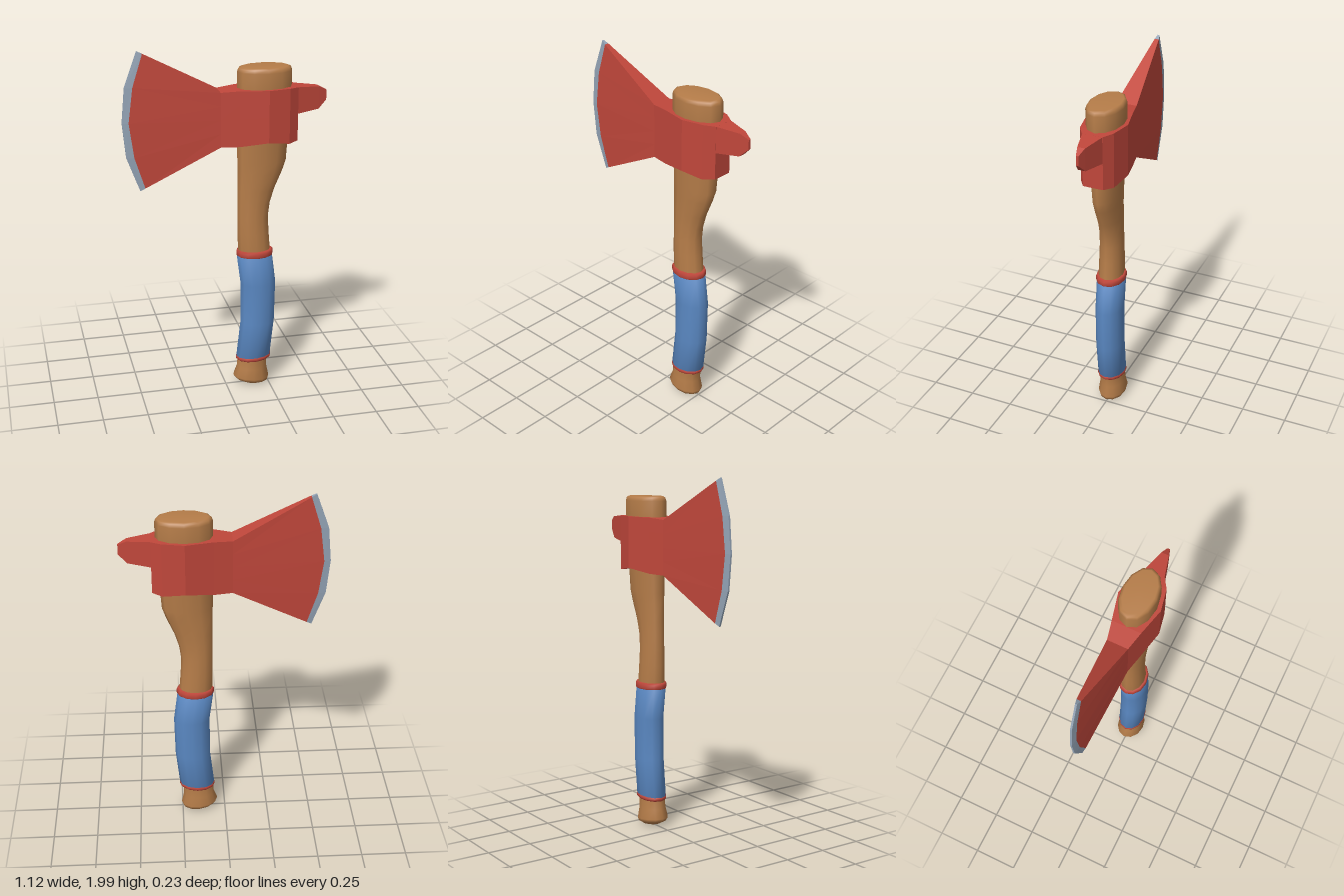
import * as THREE from 'three';

const SIDES = 12;
const RED = 0xc0473b, WOOD = 0xb67d49, BLUE = 0x5a88c2, STEEL = 0x94a4b6;

function addPart(group, name, geometry, color, flatShading = false) {
  const mesh = new THREE.Mesh(geometry, new THREE.MeshStandardMaterial({ color, flatShading }));
  mesh.name = name;
  group.add(mesh);
}

// Smooth loft through oval rings, bottom to top: [y, xMin, xMax, zHalf, tilt]
function ovalLoft(rings) {
  const pos = [], index = [];
  for (const [y, x0, x1, rz, tilt = 0] of rings) {
    const cx = (x0 + x1) / 2, rx = (x1 - x0) / 2;
    for (let k = 0; k < SIDES; k++) {
      const a = (k / SIDES) * Math.PI * 2, dx = Math.cos(a) * rx;
      pos.push(cx + dx, y + dx * tilt, -Math.sin(a) * rz);
    }
  }
  const last = rings.length - 1;
  for (let i = 0; i < last; i++) {
    for (let k = 0; k < SIDES; k++) {
      const n = (k + 1) % SIDES, a = i * SIDES, b = a + SIDES;
      index.push(a + k, a + n, b + n, a + k, b + n, b + k);
    }
  }
  // End caps
  for (const i of [0, last]) {
    const [y, x0, x1] = rings[i], c = pos.length / 3;
    pos.push((x0 + x1) / 2, y, 0);
    for (let k = 0; k < SIDES; k++) {
      const p = i * SIDES + k, q = i * SIDES + (k + 1) % SIDES;
      index.push(c, ...(i === 0 ? [q, p] : [p, q]));
    }
  }
  const g = new THREE.BufferGeometry();
  g.setAttribute('position', new THREE.Float32BufferAttribute(pos, 3));
  g.setIndex(index);
  g.computeVertexNormals();
  return g;
}

// Symmetric slab through columns, left to right; a column is a list of [x, y, zHalf], bottom to top
function slab(columns, capLeft, capRight) {
  const pos = [];
  const F = (i, j) => columns[i][j];
  const B = (i, j) => { const [x, y, z] = columns[i][j]; return [x, y, -z]; };
  const quad = (a, b, c, d) => pos.push(...a, ...b, ...c, ...a, ...c, ...d);
  const n = columns.length - 1, m = columns[0].length - 1;
  for (let i = 0; i < n; i++) {
    for (let j = 0; j < m; j++) {
      quad(F(i, j), F(i + 1, j), F(i + 1, j + 1), F(i, j + 1));
      quad(B(i + 1, j), B(i, j), B(i, j + 1), B(i + 1, j + 1));
    }
    quad(F(i, m), F(i + 1, m), B(i + 1, m), B(i, m));
    quad(B(i, 0), B(i + 1, 0), F(i + 1, 0), F(i, 0));
  }
  for (let j = 0; j < m; j++) {
    if (capLeft) quad(B(0, j), F(0, j), F(0, j + 1), B(0, j + 1));
    if (capRight) quad(F(n, j), B(n, j), B(n, j + 1), F(n, j + 1));
  }
  const g = new THREE.BufferGeometry();
  g.setAttribute('position', new THREE.Float32BufferAttribute(pos, 3));
  g.computeVertexNormals();
  return g;
}

// Straight upright column with evenly spaced points
const column = (x, y0, y1, z, segments = 4) =>
  Array.from({ length: segments + 1 }, (_, j) => [x, y0 + (y1 - y0) * j / segments, z]);

export function createModel() {
  const axe = new THREE.Group();
  axe.name = 'axe';

  // Wooden handle, from the flared knob to the rounded top
  addPart(axe, 'handle', ovalLoft([
    [0.012, 0.1, 0.225, 0.045, -0.08],
    [0.03, 0.06, 0.25, 0.073, -0.1],
    [0.05, 0.045, 0.256, 0.08, -0.1],
    [0.11, 0.066, 0.242, 0.07, -0.05],
    [0.18, 0.07, 0.245, 0.067],
    [0.4, 0.095, 0.275, 0.066],
    [0.64, 0.095, 0.28, 0.066],
    [0.83, 0.07, 0.255, 0.068],
    [0.95, 0.067, 0.245, 0.065],
    [1.04, 0.066, 0.24, 0.062],
    [1.12, 0.066, 0.25, 0.06],
    [1.2, 0.066, 0.274, 0.061],
    [1.3, 0.065, 0.317, 0.066],
    [1.36, 0.064, 0.337, 0.07],
    [1.48, 0.062, 0.345, 0.076],
    [1.78, 0.06, 0.362, 0.095],
    [1.865, 0.06, 0.362, 0.095],
    [1.883, 0.066, 0.355, 0.089],
    [1.89, 0.082, 0.34, 0.078],
  ]), WOOD);

  // Wrapped grip
  addPart(axe, 'grip', ovalLoft([
    [0.185, 0.062, 0.264, 0.075, 0.05],
    [0.4, 0.086, 0.285, 0.076],
    [0.64, 0.086, 0.289, 0.076],
    [0.815, 0.063, 0.266, 0.076],
  ]), BLUE);

  // Bands closing both ends of the grip
  const band = (y0, y1, x0, x1, z, tilt) => ovalLoft([
    [y0, x0 + 0.008, x1 - 0.008, z - 0.006, tilt],
    [y0 + 0.008, x0, x1, z, tilt],
    [y1 - 0.01, x0, x1, z, tilt],
    [y1, x0 + 0.008, x1 - 0.008, z - 0.006, tilt],
  ]);
  addPart(axe, 'upperBand', band(0.81, 0.85, 0.06, 0.27, 0.08, 0), RED);
  addPart(axe, 'lowerBand', band(0.165, 0.195, 0.06, 0.266, 0.077, 0.05), RED);

  // Axe head: blade, cheeks around the handle and flat back
  const bevel = [[-0.445, 1.255], [-0.5, 1.43], [-0.525, 1.62], [-0.5, 1.81], [-0.445, 1.985]]
    .map(([x, y]) => [x, y, 0.012]);
  const rim = [[-0.472, 1.24], [-0.542, 1.43], [-0.56, 1.62], [-0.542, 1.81], [-0.472, 2]]
    .map(([x, y]) => [x, y, 0.005]);
  addPart(axe, 'head', slab([
    bevel,
    column(-0.04, 1.47, 1.77, 0.057),
    column(0.06, 1.473, 1.778, 0.08),
    column(0.21, 1.495, 1.78, 0.117),
    column(0.33, 1.477, 1.78, 0.092),
    column(0.385, 1.482, 1.776, 0.056),
  ], false, true), RED, true);

  // Steel cutting edge
  addPart(axe, 'cuttingEdge', slab([rim, bevel], true, false), STEEL, true);

  // Tapered spike behind the head
  addPart(axe, 'backSpike', slab([
    column(0.38, 1.63, 1.776, 0.056, 1),
    column(0.51, 1.642, 1.766, 0.021, 1),
    column(0.556, 1.688, 1.742, 0.007, 1),
  ], false, true), RED, true);

  return axe;
}
